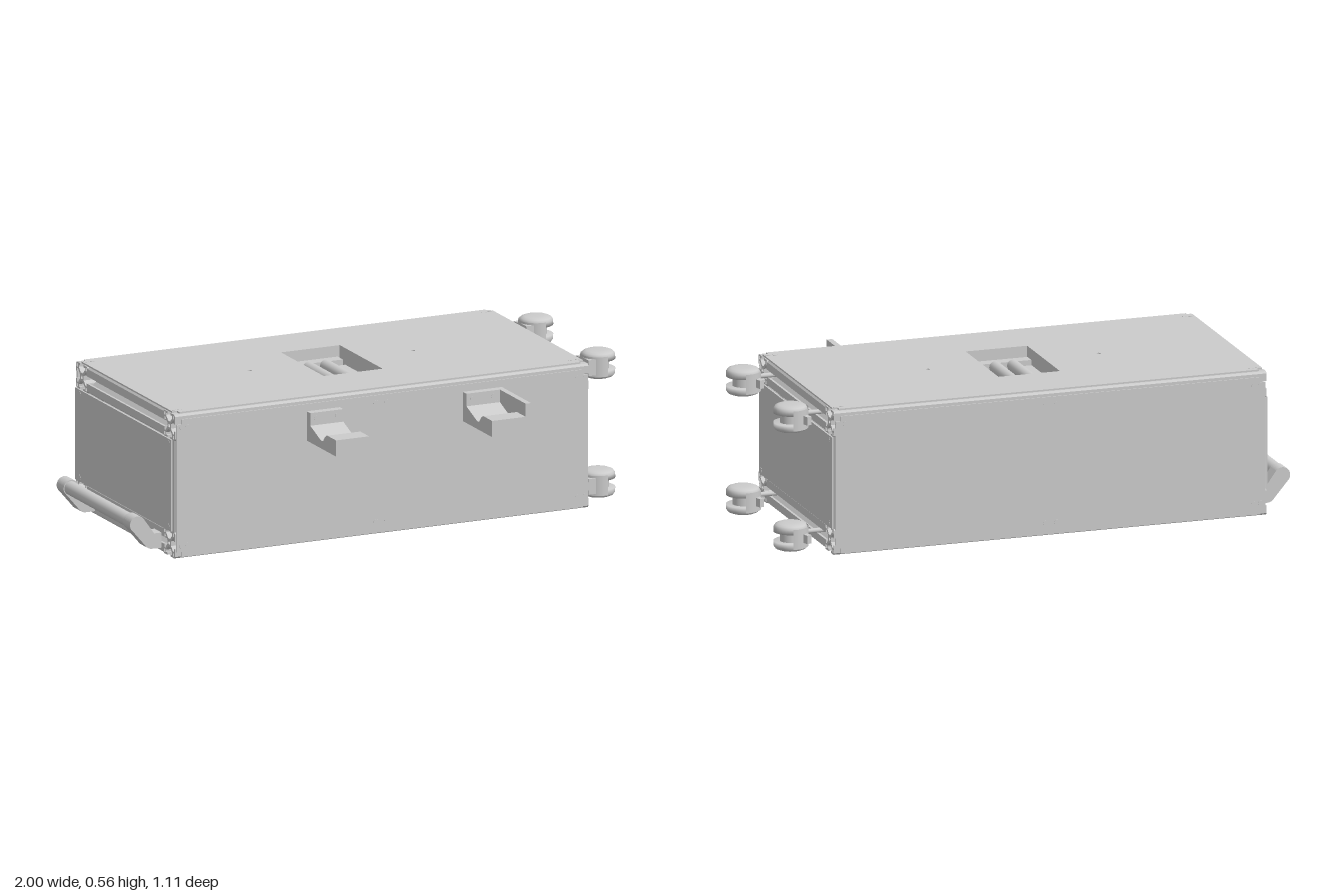
import * as THREE from 'three';

const material = new THREE.MeshStandardMaterial({ color: 0xcccccc, side: THREE.DoubleSide });

function add(parent, name, geometry, x = 0, y = 0, z = 0) {
  const mesh = new THREE.Mesh(geometry, material);
  mesh.name = name;
  mesh.position.set(x, y, z);
  parent.add(mesh);
  return mesh;
}

// Box given by its minimum and maximum corners
function box(parent, name, [x0, y0, z0], [x1, y1, z1]) {
  return add(parent, name, new THREE.BoxGeometry(x1 - x0, y1 - y0, z1 - z0),
    (x0 + x1) / 2, (y0 + y1) / 2, (z0 + z1) / 2);
}

// Cylinder along a chosen axis
function rod(parent, name, r, length, axis, x, y, z, sides = 24) {
  const g = new THREE.CylinderGeometry(r, r, length, sides);
  if (axis === 'x') g.rotateZ(Math.PI / 2);
  if (axis === 'z') g.rotateX(Math.PI / 2);
  return add(parent, name, g, x, y, z);
}

function circleHole(x, y, r) {
  return new THREE.Path().absarc(x, y, r, 0, Math.PI * 2, true);
}

function rectHole(x0, y0, x1, y1) {
  return new THREE.Path([[x0, y0], [x0, y1], [x1, y1], [x1, y0]].map(p => new THREE.Vector2(...p)));
}

// Rectangle with small square notches at its corners
function notchedRect(x0, y0, x1, y1, n) {
  return new THREE.Shape([[x0 + n, y0], [x1 - n, y0], [x1 - n, y0 + n], [x1, y0 + n], [x1, y1 - n],
    [x1 - n, y1 - n], [x1 - n, y1], [x0 + n, y1], [x0 + n, y1 - n], [x0, y1 - n], [x0, y0 + n],
    [x0 + n, y0 + n]].map(p => new THREE.Vector2(...p)));
}

// Square T-slot section, one side turned four times
function slotSection() {
  const side = [[.043, .05], [.014, .05], [.014, .041], [.026, .041], [.026, .033], [.009, .016],
    [-.009, .016], [-.026, .033], [-.026, .041], [-.014, .041], [-.014, .05], [-.043, .05]];
  const points = [];
  for (let i = 0; i < 4; i++) {
    const c = Math.round(Math.cos(i * Math.PI / 2)), s = Math.round(Math.sin(i * Math.PI / 2));
    side.forEach(([x, y]) => points.push(new THREE.Vector2(x * c - y * s, x * s + y * c)));
  }
  const shape = new THREE.Shape(points);
  shape.holes.push(circleHole(0, 0, .008));
  for (const x of [-.038, .038]) for (const y of [-.038, .038])
    shape.holes.push(rectHole(x - .006, y - .006, x + .006, y + .006));
  return shape;
}

function beam(parent, name, length, axis, x, y, z) {
  const g = new THREE.ExtrudeGeometry(slotSection(), { depth: length, bevelEnabled: false, curveSegments: 4 });
  g.translate(0, 0, -length / 2);
  if (axis === 'x') g.rotateY(Math.PI / 2);
  if (axis === 'y') g.rotateX(Math.PI / 2);
  return add(parent, name, g, x, y, z);
}

function makeFrame() {
  const frame = new THREE.Group();
  frame.name = 'frame';
  for (const y of [.057, .506]) {
    for (const z of [.25, -.5]) beam(frame, 'longBeam', 1.69, 'x', -.025, y, z);
    for (const x of [.77, -.82]) beam(frame, 'crossBeam', .65, 'z', x, y, -.125);
  }
  for (const x of [.77, -.82]) for (const z of [.25, -.5])
    beam(frame, 'cornerPost', .349, 'y', x, .2815, z);
  return frame;
}

function makePanels() {
  const panels = new THREE.Group();
  panels.name = 'panels';
  const sheet = { depth: .006, bevelEnabled: false };
  // Top sheet with the roller opening and two small holes (shape y is -z)
  const top = notchedRect(-.865, -.285, .815, .535, .02);
  top.holes.push(rectHole(-.145, -.055, .095, .313), circleHole(-.36, .13, .008), circleHole(.307, .13, .008));
  add(panels, 'topPanel', new THREE.ExtrudeGeometry(top, sheet).rotateX(-Math.PI / 2), 0, .556, 0);
  // Long side sheets
  const side = notchedRect(-.865, .012, .815, .538, .02);
  for (const [name, z] of [['frontPanel', .298], ['backPanel', -.554]])
    add(panels, name, new THREE.ExtrudeGeometry(side, sheet), 0, 0, z);
  box(panels, 'bottomPanel', [-.79, .085, -.47], [.74, .091, .22]);
  for (const x of [.82, -.876]) box(panels, 'endPanel', [x, .106, -.545], [x + .006, .457, .277]);
  // Screw heads, nearly flush
  for (const x of [-.845, -.82, -.05, -.005, .775, .805])
    for (const y of [.055, .508]) for (const z of [.304, -.554])
      rod(panels, 'screw', .01, .002, 'z', x, y, z, 12);
  for (const x of [-.85, -.825, .775, .8])
    for (const z of [.245, -.505]) rod(panels, 'screw', .01, .002, 'y', x, .562, z, 12);
  for (const x of [.826, -.876])
    for (const y of [.12, .44]) for (const z of [.255, -.51])
      rod(panels, 'screw', .012, .002, 'x', x, y, z, 12);
  return panels;
}

// Sunken tray with two rollers in the top opening
function makeRollerTray() {
  const tray = new THREE.Group();
  tray.name = 'rollerTray';
  box(tray, 'trayFloor', [-.15, .452, -.318], [.1, .46, .06]);
  for (const x of [-.151, .095]) box(tray, 'trayWall', [x, .455, -.318], [x + .006, .556, .06]);
  for (const z of [-.319, .055]) box(tray, 'trayWall', [-.15, .455, z], [.1, .556, z + .006]);
  box(tray, 'backBearingBlock', [-.125, .46, -.31], [.085, .52, -.265]);
  box(tray, 'frontBearingBlock', [-.145, .46, .008], [.06, .52, .052]);
  for (const x of [-.14, .05]) box(tray, 'sideRail', [x, .46, -.245], [x + .035, .505, -.01]);
  for (const x of [-.066, .004]) {
    rod(tray, 'roller', .023, .23, 'z', x, .512, -.128);
    rod(tray, 'rollerAxle', .008, .31, 'z', x, .512, -.125, 12);
  }
  return tray;
}

// Twin-wheel caster, its wheel axis vertical and its stem along x
function makeCaster() {
  const caster = new THREE.Group();
  caster.name = 'caster';
  const profile = [[0, .052], [.025, .052], [.045, .05], [.057, .045], [.063, .036], [.064, .018], [0, .018]];
  for (const s of [1, -1]) {
    const points = profile.map(([r, y]) => new THREE.Vector2(r, y * s));
    if (s > 0) points.reverse();
    add(caster, 'wheel', new THREE.LatheGeometry(points, 32));
  }
  rod(caster, 'hub', .04, .04, 'y', 0, 0, 0);
  // Shell closing the stem side of both wheels
  add(caster, 'hood', new THREE.CylinderGeometry(.066, .066, .076, 24, 1, true, Math.PI * .95, Math.PI * 1.1));
  add(caster, 'hoodWeb', new THREE.CylinderGeometry(.064, .064, .037, 24, 1, false, Math.PI * .95, Math.PI * 1.1));
  box(caster, 'stemHousing', [-.066, -.03, .012], [-.01, .03, .056]);
  rod(caster, 'stemCollar', .016, .014, 'x', -.07, 0, .036, 16);
  rod(caster, 'stem', .009, .1, 'x', -.11, 0, .036, 16);
  const lever = box(caster, 'brakeLever', [-.05, -.016, -.078], [-.03, .016, -.03]);
  lever.rotation.y = .3;
  return caster;
}

// Bent arms carrying a round grip bar
function makeHandle() {
  const handle = new THREE.Group();
  handle.name = 'handle';
  const arm = new THREE.Shape();
  arm.moveTo(-.87, .022);
  arm.lineTo(-.908, .022);
  arm.quadraticCurveTo(-.926, .022, -.937, .038);
  arm.lineTo(-.994, .105);
  arm.absarc(-.968, .122, .031, Math.PI * 1.18, Math.PI * .18, true);
  arm.lineTo(-.9, .08);
  arm.lineTo(-.87, .08);
  arm.closePath();
  for (const z of [-.445, .125])
    add(handle, 'handleArm', new THREE.ExtrudeGeometry(arm, { depth: .06, bevelEnabled: false }), 0, 0, z);
  rod(handle, 'gripBar', .026, .52, 'z', -.97, .122, -.128);
  return handle;
}

// Cradle hook with a screw plate, and optionally an end stop
function makeHook(x0, x1, stop) {
  const hook = new THREE.Group();
  hook.name = 'hook';
  // Side profile (z, y): plate, gentle slope, steep rise to the front lip
  const shape = new THREE.Shape();
  shape.moveTo(.304, .398);
  shape.lineTo(.555, .398);
  shape.lineTo(.555, .46);
  shape.lineTo(.48, .46);
  shape.quadraticCurveTo(.46, .455, .447, .433);
  shape.quadraticCurveTo(.44, .425, .42, .43);
  shape.lineTo(.334, .462);
  shape.lineTo(.334, .51);
  shape.lineTo(.304, .51);
  shape.closePath();
  const width = x1 - x0;
  const g = new THREE.ExtrudeGeometry(shape, { depth: width, bevelEnabled: false, curveSegments: 12 });
  add(hook, 'cradle', g.rotateY(-Math.PI / 2), x1, 0, 0);
  for (const f of [.18, .82]) rod(hook, 'hookScrew', .01, .003, 'z', x0 + width * f, .488, .334, 12);
  if (stop) box(hook, 'endStop', [x1, .398, .304], [x1 + .022, .51, .555]);
  return hook;
}

export function createModel() {
  const model = new THREE.Group();
  model.name = 'wheeledCase';
  model.add(makeFrame(), makePanels(), makeRollerTray(), makeHandle(),
    makeHook(-.333, -.198, false), makeHook(.305, .442, true));
  for (const y of [.053, .507]) for (const z of [.138, -.395]) {
    const caster = makeCaster();
    caster.position.set(.936, y, z);
    model.add(caster);
  }
  return model;
}
